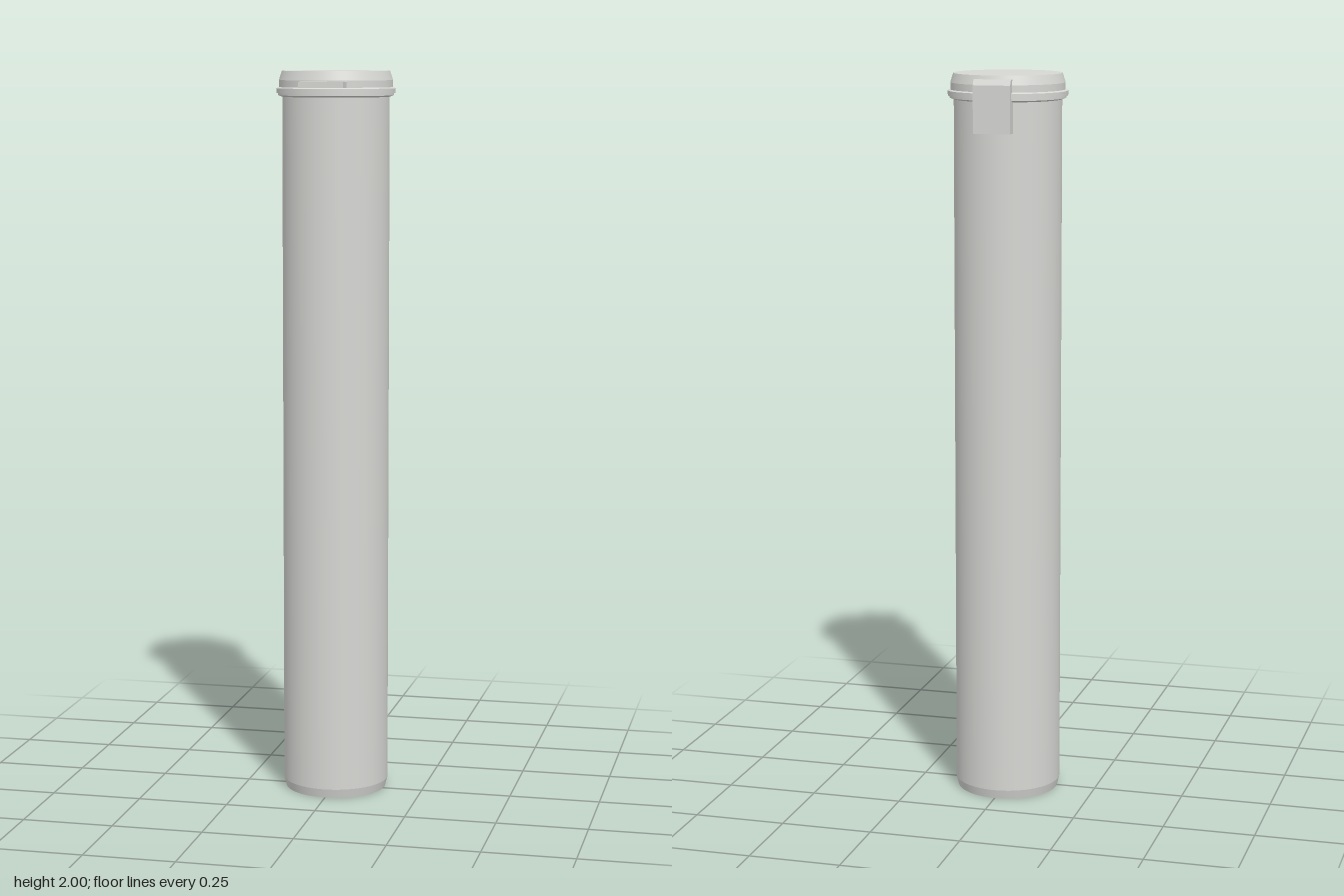
import * as THREE from 'three';

const AXIS_Z = -0.014; // tube axis sits slightly behind centre

export function createModel() {
  const model = new THREE.Group();
  const plastic = new THREE.MeshStandardMaterial({ color: 0xd6d6d3 });
  plastic.name = 'pale grey plastic';

  const add = (name, geometry, x, y, z) => {
    const mesh = new THREE.Mesh(geometry, plastic);
    mesh.name = name;
    mesh.position.set(x, y, z);
    model.add(mesh);
  };

  // Stacked cone bands keep the edges between profile steps crisp
  const turned = (name, profile) => {
    const part = new THREE.Group();
    part.name = name;
    part.position.z = AXIS_Z;
    for (let i = 0; i < profile.length - 1; i++) {
      const band = new THREE.Mesh(new THREE.LatheGeometry(
        [profile[i], profile[i + 1]].map(([r, y]) => new THREE.Vector2(r, y)), 96), plastic);
      band.name = name + 'Band' + (i + 1);
      part.add(band);
    }
    model.add(part);
  };

  // Long tube with a chamfered foot and a collar under the lid
  turned('tube', [[0, 0], [0.14, 0], [0.146, 0.025], [0.146, 1.93], [0.157, 1.934], [0.157, 1.942]]);

  // Snap lid: lower flange, skirt, tapered shoulder and flat top
  turned('lid', [[0.146, 1.94], [0.162, 1.94], [0.162, 1.953], [0.155, 1.956],
    [0.155, 1.975], [0.147, 2], [0, 2]]);

  // Thumb tab at the front of the lid
  add('thumbTab', new THREE.BoxGeometry(0.122, 0.016, 0.05), 0, 1.964, 0.151);

  // Hinge plate at the back, with a small bevel on its upper outer edge
  const side = new THREE.Shape([[0.15, 1.848], [0.178, 1.848], [0.178, 1.975], [0.17, 1.99], [0.15, 1.99]]
    .map(([d, y]) => new THREE.Vector2(d, y)));
  const hinge = new THREE.ExtrudeGeometry(side, { depth: 0.102, bevelEnabled: false });
  hinge.translate(0, 0, -0.051).rotateY(Math.PI / 2);
  add('hingePlate', hinge, 0, 0, 0);

  return model;
}
